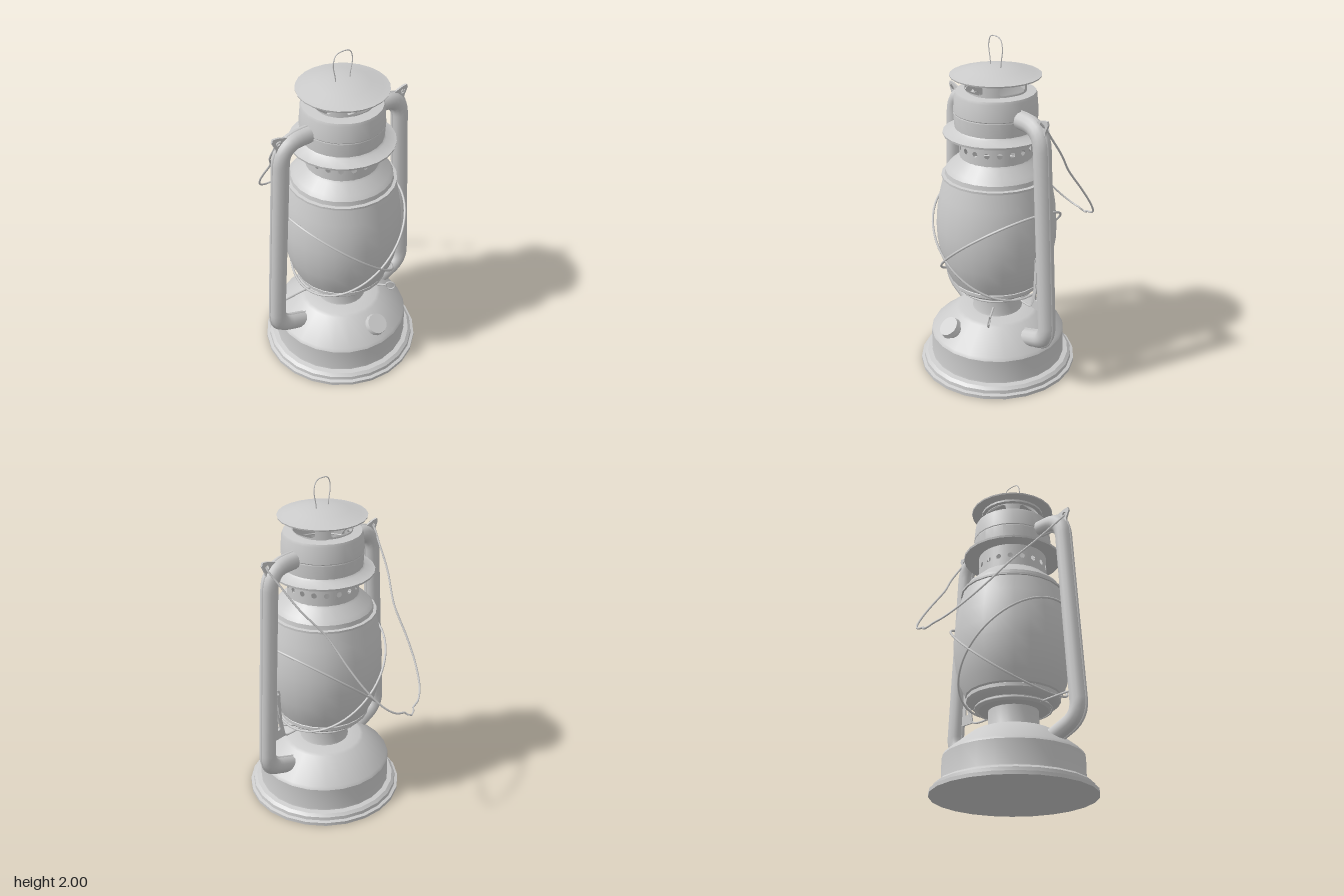
import * as THREE from 'three';
import { toCreasedNormals } from 'three/addons/utils/BufferGeometryUtils.js';

const SEG = 24;
const mat = new THREE.MeshStandardMaterial({ color: 0xcccccc, side: THREE.DoubleSide });
const v3 = (p) => new THREE.Vector3(p[0], p[1], p[2] || 0);
const v2 = (p) => new THREE.Vector2(p[0], p[1]);

export function createModel() {
  const model = new THREE.Group();
  model.name = 'lantern';
  const body = new THREE.Group();
  body.name = 'lanternBody';
  body.position.z = 0.105;
  model.add(body);

  function add(name, geo, parent = body) {
    const m = new THREE.Mesh(geo, mat);
    m.name = name;
    parent.add(m);
    return m;
  }
  const lathe = (name, pts) =>
    add(name, toCreasedNormals(new THREE.LatheGeometry(pts.map(v2), SEG), 0.5));
  const wire = (name, pts, r, closed = false, n = 48) =>
    add(name, new THREE.TubeGeometry(new THREE.CatmullRomCurve3(pts.map(v3), closed, 'centripetal'), n, r, 6, closed));

  // Ring of bent sheet panels, each with one hole
  function piercedBand(name, r, y0, y1, count, hole, steps) {
    const group = new THREE.Group();
    group.name = name;
    body.add(group);
    const w = (Math.PI * 2 * r) / count;
    const edge = [];
    for (let i = 0; i <= steps; i++) edge.push([-w / 2 + (w * i) / steps, y0]);
    for (let i = steps; i >= 0; i--) edge.push([-w / 2 + (w * i) / steps, y1]);
    const shape = new THREE.Shape(edge.map(v2));
    shape.holes.push(new THREE.Path(hole.map(v2)));
    const geo = new THREE.ShapeGeometry(shape);
    const p = geo.attributes.position, nrm = geo.attributes.normal;
    for (let i = 0; i < p.count; i++) {
      const a = p.getX(i) / r;
      p.setXYZ(i, Math.sin(a) * r, p.getY(i), Math.cos(a) * r);
      nrm.setXYZ(i, Math.sin(a), 0, Math.cos(a));
    }
    for (let i = 0; i < count; i++) add(name + 'Panel', geo, group).rotation.y = (i * Math.PI * 2) / count;
  }

  // Fuel tank and burner
  lathe('fuelTank', [[0, 0], [0.468, 0], [0.468, 0.02], [0.45, 0.025], [0.447, 0.045], [0.43, 0.06],
    [0.402, 0.065], [0.4, 0.075], [0.4, 0.21], [0.39, 0.228], [0.245, 0.345], [0.225, 0.355], [0.14, 0.36]]);
  lathe('burner', [[0.15, 0.355], [0.145, 0.37], [0.145, 0.485], [0.2, 0.49], [0.215, 0.5], [0.215, 0.515],
    [0.255, 0.53], [0.27, 0.545], [0.27, 0.565], [0.25, 0.575]]);

  // Glass globe
  lathe('globe', [[0.24, 0.55], [0.275, 0.575], [0.305, 0.64], [0.33, 0.73], [0.345, 0.83], [0.348, 0.92],
    [0.34, 1.02], [0.325, 1.11], [0.298, 1.215]]);

  // Globe hood, pierced band, flange and drum
  lathe('globeHood', [[0.28, 1.21], [0.31, 1.21], [0.31, 1.222], [0.292, 1.225], [0.288, 1.25],
    [0.27, 1.272], [0.215, 1.318], [0.205, 1.33]]);
  const round = [];
  for (let i = 0; i < 10; i++) {
    const a = (i / 10) * Math.PI * 2;
    round.push([Math.cos(a) * 0.016, 1.39 + Math.sin(a) * 0.016]);
  }
  piercedBand('airBand', 0.205, 1.325, 1.465, 18, round, 2);
  lathe('drum', [[0.2, 1.465], [0.295, 1.46], [0.297, 1.472], [0.24, 1.49], [0.23, 1.5], [0.235, 1.58],
    [0.233, 1.585], [0.236, 1.59], [0.228, 1.685], [0.222, 1.7], [0.165, 1.705]]);

  // Slotted chimney top
  const slot = [];
  for (let i = 0; i <= 8; i++) slot.push([-0.075 + (0.15 * i) / 8, 1.715]);
  slot.push([0.09, 1.726], [0.09, 1.754]);
  for (let i = 8; i >= 0; i--) slot.push([-0.075 + (0.15 * i) / 8, 1.765]);
  slot.push([-0.09, 1.754], [-0.09, 1.726]);
  piercedBand('chimneyVent', 0.17, 1.7, 1.79, 4, slot, 10);
  lathe('chimneyCollar', [[0.17, 1.769], [0.19, 1.772], [0.19, 1.79]]);
  lathe('chimneyCap', [[0, 1.785], [0.25, 1.785], [0.252, 1.793], [0.215, 1.8], [0.15, 1.82], [0.08, 1.833], [0, 1.838]]);
  wire('topLoop', [[-0.045, 1.82], [-0.05, 1.86], [-0.063, 1.94], [-0.045, 1.988], [0, 1.998], [0.045, 1.988],
    [0.063, 1.94], [0.05, 1.86], [0.045, 1.82]], 0.003);

  // Side air tubes with seam ridge, and handle ears
  const framePath = new THREE.CurvePath();
  const corners = [[0.21, 1.59], [0.405, 1.59], [0.482, 0.35], [0.27, 0.265]].map(v3);
  const lerp = (a, b, d) => a.clone().add(b.clone().sub(a).setLength(d));
  let from = corners[0];
  for (const [i, d] of [[1, 0.12], [2, 0.09]]) {
    const a = lerp(corners[i], corners[i - 1], d), b = lerp(corners[i], corners[i + 1], d);
    framePath.add(new THREE.LineCurve3(from, a));
    framePath.add(new THREE.QuadraticBezierCurve3(a, corners[i], b));
    from = b;
  }
  framePath.add(new THREE.LineCurve3(from, corners[3]));
  const ear = new THREE.Shape([[0.455, 1.645], [0.425, 1.642], [0.36, 1.622], [0.26, 1.635], [0.24, 1.6], [0.38, 1.59],
    [0.405, 1.5], [0.435, 1.52], [0.44, 1.58], [0.462, 1.625]].map(v2));
  ear.holes.push(new THREE.Path().absarc(0.425, 1.61, 0.013, 0, Math.PI * 2, true));
  const earGeo = new THREE.ExtrudeGeometry(ear, { depth: 0.012, bevelEnabled: false, curveSegments: 6 });
  earGeo.translate(0, 0, -0.006);
  const tubeGeo = new THREE.TubeGeometry(framePath, 60, 0.05, 12);
  const seamGeo = new THREE.TubeGeometry(framePath, 60, 0.058, 8);
  for (const s of [1, -1]) {
    const side = new THREE.Group();
    side.name = s > 0 ? 'leftFrame' : 'rightFrame';
    side.rotation.y = s > 0 ? 0 : Math.PI;
    body.add(side);
    add('airTube', tubeGeo, side);
    add('tubeSeam', seamGeo, side).scale.z = 0.15;
    add('handleEar', earGeo, side);
  }

  // Swung-back carrying handle, lying in one tilted plane
  const half = [[0.42, 0.125], [0.428, 0.1], [0.405, 0.04], [0.36, -0.07], [0.28, -0.19], [0.262, -0.25], [0.25, -0.31],
    [0.21, -0.42], [0.15, -0.505], [0.09, -0.542], [0.035, -0.553], [0.018, -0.57]];
  const bail = [...half, [0, -0.573], ...half.map(([x, z]) => [-x, z]).reverse()];
  wire('carryHandle', bail.map(([x, z]) => [x, 1.6 + (z - 0.1) * 1.21, z - 0.105]), 0.006, false, 90);

  // Crossed guard wires around the globe
  for (const s of [1, -1]) {
    const ring = [];
    for (let i = 0; i < 20; i++) {
      const a = (i / 20) * Math.PI * 2;
      ring.push([s * (-0.037 + 0.315 * Math.cos(a)), 0.8 - 0.27 * Math.cos(a), 0.362 * Math.sin(a)]);
    }
    wire('globeGuard', ring, 0.007, true, 60);
  }

  // Globe lifting wire and lever
  const liftRing = add('liftRing', new THREE.TorusGeometry(0.22, 0.006, 6, SEG));
  liftRing.rotation.x = Math.PI / 2;
  liftRing.position.y = 0.5;
  wire('liftWireRight', [[-0.43, 0.505], [-0.32, 0.503], [-0.21, 0.498]], 0.006, false, 8);
  wire('liftWireLeft', [[0.21, 0.495], [0.27, 0.492], [0.33, 0.503], [0.36, 0.56], [0.385, 0.66], [0.385, 0.78],
    [0.395, 0.825], [0.375, 0.825], [0.365, 0.79]], 0.006);
  const lever = new THREE.Shape([[0.33, 0.5], [0.43, 0.5], [0.42, 0.65], [0.402, 0.8], [0.365, 0.8], [0.355, 0.62]].map(v2));
  lever.holes.push(new THREE.Path([[0.372, 0.56], [0.39, 0.56], [0.392, 0.74], [0.38, 0.74]].map(v2)));
  const leverGeo = new THREE.ExtrudeGeometry(lever, { depth: 0.008, bevelEnabled: false });
  add('liftLever', leverGeo).position.z = -0.004;

  // Filler cap on the tank's front slope
  const filler = new THREE.Group();
  filler.name = 'fillerCap';
  filler.position.set(0, 0.285, 0.315);
  filler.rotation.x = 0.68;
  body.add(filler);
  add('fillerNeck', new THREE.CylinderGeometry(0.045, 0.05, 0.05, 16), filler).position.y = 0.01;
  add('fillerLid', toCreasedNormals(new THREE.CylinderGeometry(0.06, 0.066, 0.03, 16), 0.6), filler).position.y = 0.045;

  // Wick knob pointing out diagonally
  const wick = new THREE.Group();
  wick.name = 'wickKnob';
  wick.position.y = 0.415;
  wick.rotation.y = -Math.PI / 4;
  body.add(wick);
  const rod = add('wickRod', new THREE.CylinderGeometry(0.006, 0.006, 0.16, 8), wick);
  rod.rotation.z = Math.PI / 2;
  rod.position.x = 0.2;
  add('wickRing', new THREE.TorusGeometry(0.028, 0.005, 6, 16), wick).position.x = 0.305;

  return model;
}
